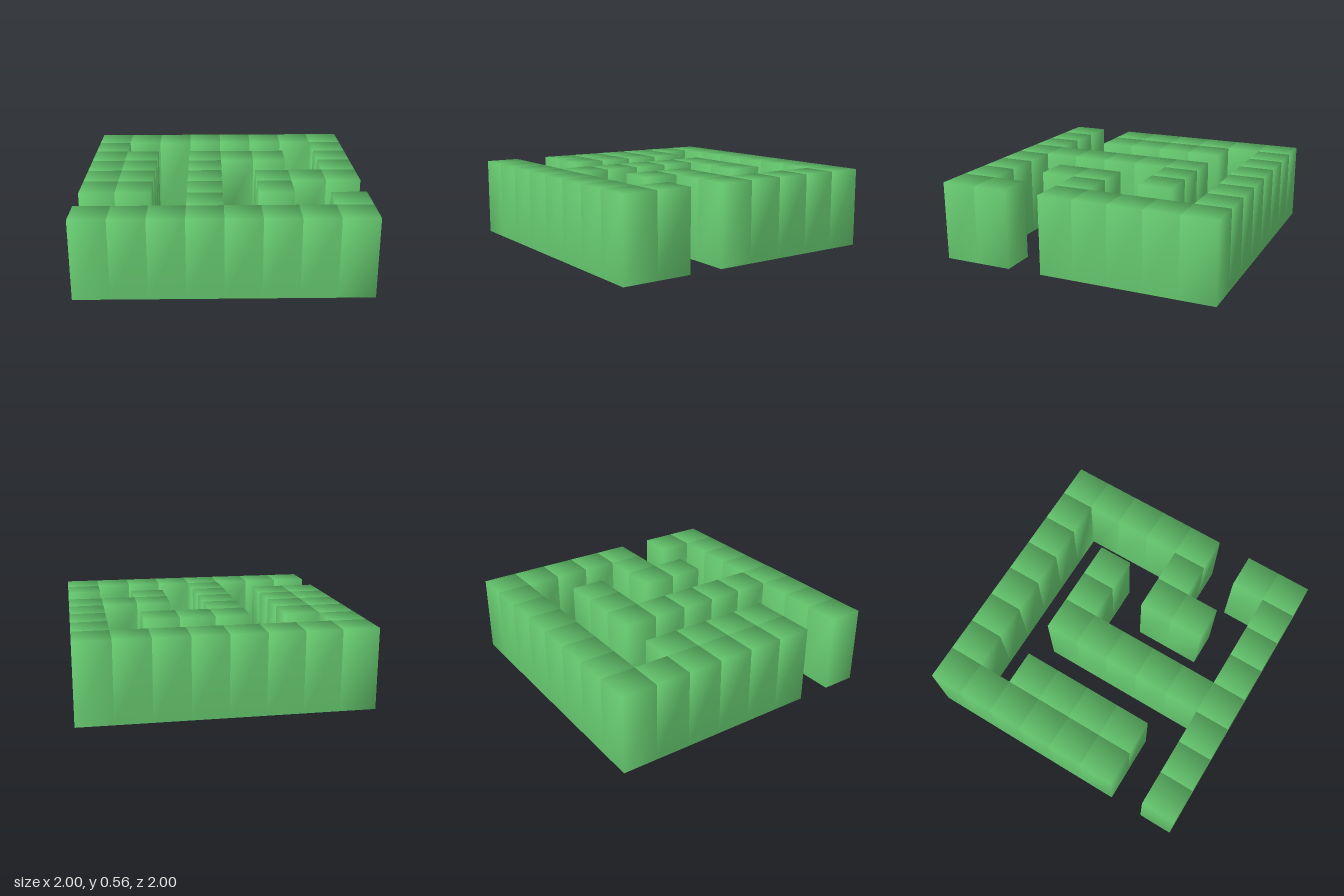
import * as THREE from 'three';

// Maze plan seen from above: rows run back to front, columns run along +x
const PLAN = [
  '########',
  '#......#',
  '##.###.#',
  '##.#...#',
  '##.#.###',
  '##.#.#..',
  '...#...#',
  '########',
];
const CELL = 0.25;
const HEIGHT = 0.5625;

// Hedge blocks: open underneath, each with its own top corners,
// sharing ground corners with their neighbours so the shading blends there
function hedgeGeometry() {
  const positions = [];
  const normals = [];
  const index = [];
  const ground = new Map();

  const addVertex = (col, y, row) => {
    positions.push(col * CELL - 1, y, row * CELL - 1);
    normals.push(new THREE.Vector3());
    return normals.length - 1;
  };
  const groundVertex = (col, row) => {
    const key = row * 9 + col;
    if (!ground.has(key)) ground.set(key, addVertex(col, 0, row));
    return ground.get(key);
  };
  const addQuad = (a, b, c, d, normal) => {
    index.push(a, b, c, a, c, d);
    for (const v of [a, b, c, d]) normals[v].add(normal);
  };

  PLAN.forEach((line, row) => {
    [...line].forEach((mark, col) => {
      if (mark !== '#') return;
      // Corners anticlockwise from above, starting at front left of the plan
      const corners = [[col, row + 1], [col + 1, row + 1], [col + 1, row], [col, row]];
      const low = corners.map(([c, r]) => groundVertex(c, r));
      const top = corners.map(([c, r]) => addVertex(c, HEIGHT, r));
      addQuad(...top, new THREE.Vector3(0, 1, 0));
      const out = [[0, 1], [1, 0], [0, -1], [-1, 0]];
      out.forEach(([x, z], i) => {
        const j = (i + 1) % 4;
        addQuad(low[i], low[j], top[j], top[i], new THREE.Vector3(x, 0, z));
      });
    });
  });

  const smooth = normals.flatMap((n) => {
    if (n.lengthSq() < 1e-6) n.set(0, 1, 0); // fully enclosed ground corner
    return n.normalize().toArray();
  });
  const geometry = new THREE.BufferGeometry();
  geometry.setAttribute('position', new THREE.Float32BufferAttribute(positions, 3));
  geometry.setAttribute('normal', new THREE.Float32BufferAttribute(smooth, 3));
  geometry.setIndex(index);
  return geometry;
}

export function createModel() {
  const model = new THREE.Group();
  model.name = 'hedgeMaze';
  const hedge = new THREE.Mesh(
    hedgeGeometry(),
    new THREE.MeshStandardMaterial({ color: 0x63c46c, side: THREE.DoubleSide })
  );
  hedge.name = 'hedgeWalls';
  model.add(hedge);
  return model;
}
